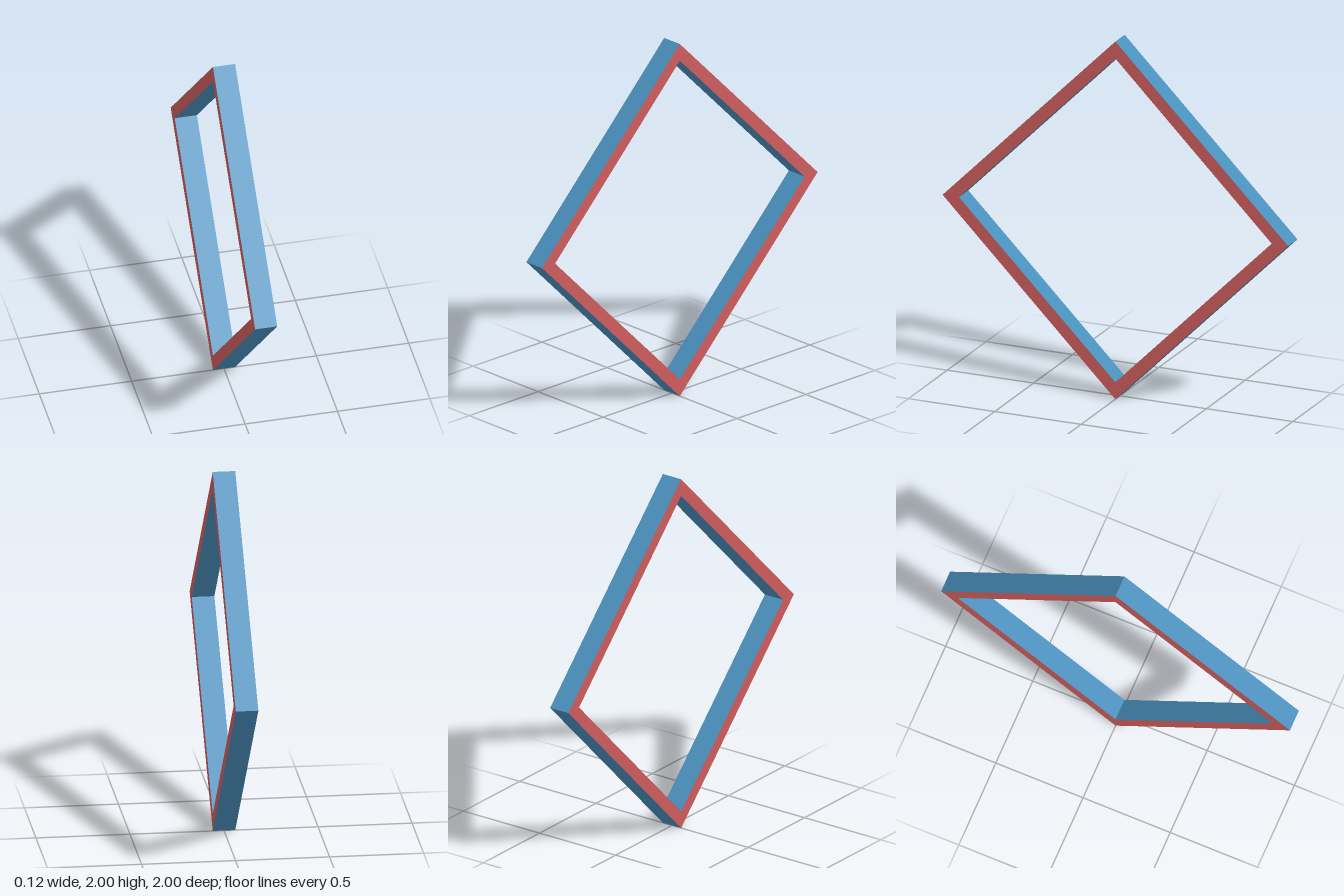
import * as THREE from 'three';

const OUTER = 1, INNER = 0.905, WIDTH = 0.12;

// Four corners of a square standing on its point
const diamond = (r) => [[r, 0], [0, r], [-r, 0], [0, -r]].map(([x, y]) => new THREE.Vector2(x, y));

export function createModel() {
  const model = new THREE.Group();

  // Square ring, extruded across its width
  const outline = new THREE.Shape(diamond(OUTER));
  outline.holes.push(new THREE.Path(diamond(INNER).reverse()));
  const geometry = new THREE.ExtrudeGeometry(outline, { depth: WIDTH, bevelEnabled: false });
  geometry.translate(0, 0, -WIDTH / 2);
  geometry.rotateY(Math.PI / 2);

  // Red side faces, blue inner and outer walls
  const sideFaces = new THREE.MeshStandardMaterial({ color: 0xcd5c5c });
  const walls = new THREE.MeshStandardMaterial({ color: 0x4a90bd });
  const frame = new THREE.Mesh(geometry, [sideFaces, walls]);
  frame.name = 'diamondFrame';
  frame.position.y = OUTER;
  model.add(frame);

  return model;
}
